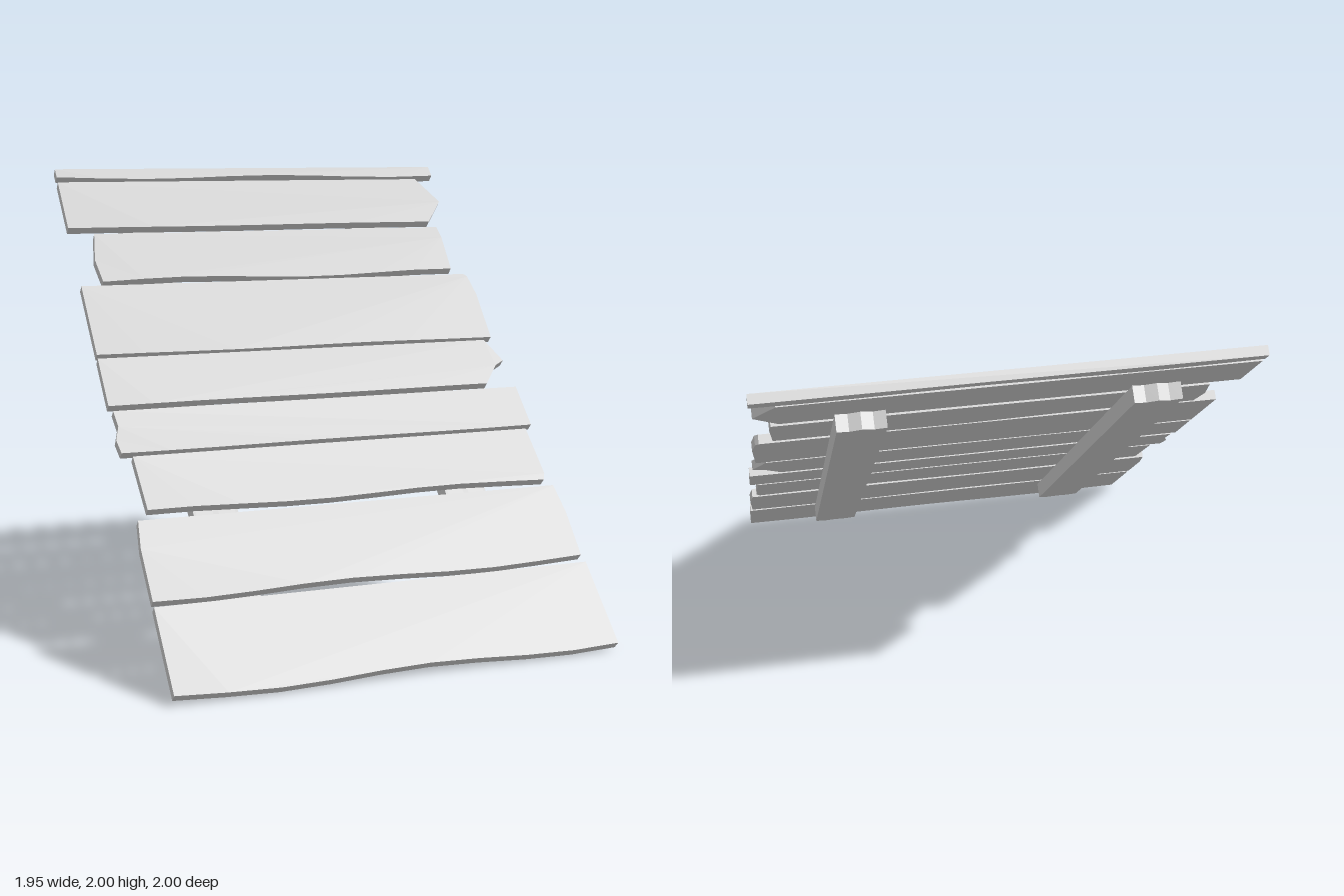
import * as THREE from 'three';

const SLOPE = Math.SQRT2; // heights are measured upright, the panel leans 45 degrees

// Flat board from an outline of [x, height] points, counter-clockwise
function board(name, points, depth, zFront, material) {
  const shape = new THREE.Shape(points.map(([x, y]) => new THREE.Vector2(x, y * SLOPE)));
  const geometry = new THREE.ExtrudeGeometry(shape, { depth, bevelEnabled: false });
  geometry.translate(0, 0, zFront - depth);
  const mesh = new THREE.Mesh(geometry, material);
  mesh.name = name;
  return mesh;
}

// Plank outline: wavy lower edge, shaped right end going up, straight top, shaped left end going down
function plankOutline({ low, high, wave, peak, left, right }) {
  const lowEdge = (x) => low + wave * Math.cos(5 * (x - peak));
  const place = ([x, t]) => [x, THREE.MathUtils.lerp(lowEdge(x), high, t)];
  const x0 = left[0][0], x1 = right[0][0];
  const bottom = [];
  for (let i = 1; i < 9; i++) {
    const x = THREE.MathUtils.lerp(x0, x1, i / 9);
    bottom.push([x, lowEdge(x)]);
  }
  return [...bottom, ...right.map(place), ...left.map(place).reverse()];
}

// Plank ends are [x, fraction of the plank's height], from bottom to top
const sawnLeft = [[-0.975, 0], [-0.975, 1]];
const sawnRight = [[0.97, 0], [0.97, 1]];
const planks = [
  { low: 0.037, high: 0.317, wave: 0.009, peak: 0.1, left: sawnLeft, right: sawnRight },
  { low: 0.338, high: 0.602, wave: 0.007, peak: -0.15,
    left: [[-0.975, 0], [-0.975, 0.65], [-0.96, 1]], right: [[0.96, 0], [0.97, 0.6], [0.96, 1]] },
  { low: 0.63, high: 0.825, wave: 0.006, peak: 0.45,
    left: [[-0.91, 0], [-0.92, 1]], right: [[0.925, 0], [0.94, 0.12], [0.935, 1]] },
  { low: 0.839, high: 0.994, wave: 0.001, peak: 0,
    left: [[-0.965, 0], [-0.975, 0.31], [-0.953, 0.62], [-0.96, 1]], right: sawnRight },
  { low: 1.014, high: 1.195, wave: 0.001, peak: -0.5,
    left: sawnLeft, right: [[0.83, 0], [0.91, 0.4], [0.957, 0.5], [0.9, 1]] },
  { low: 1.208, high: 1.487, wave: 0.002, peak: 0.3,
    left: sawnLeft, right: [[0.943, 0], [0.957, 0.67], [0.945, 0.96], [0.93, 1]] },
  { low: 1.506, high: 1.707, wave: 0.008, peak: -0.47,
    left: [[-0.87, 0], [-0.885, 0.45], [-0.86, 1]], right: [[0.875, 0], [0.89, 0.75], [0.885, 1]] },
  { low: 1.734, high: 1.94, wave: 0.001, peak: 0.4,
    left: sawnLeft, right: [[0.855, 0], [0.955, 0.46], [0.87, 1]] },
  { low: 1.959, high: 2, wave: 0.007, peak: 0.1, left: sawnLeft, right: sawnRight },
];

export function createModel() {
  const model = new THREE.Group();
  model.name = 'plankPanel';
  const wood = new THREE.MeshStandardMaterial({ color: 0xcccccc });
  wood.name = 'paleGrey';

  // Leaning frame: local z = 0 is the front face of the planks
  const panel = new THREE.Group();
  panel.name = 'leaningPanel';
  panel.rotation.x = -Math.PI / 4;
  panel.position.z = 1.028;
  model.add(panel);

  planks.forEach((plank, i) => panel.add(board(`plank${i + 1}`, plankOutline(plank), 0.04, 0, wood)));

  // Two rails behind the planks, with slightly ragged ends
  const lowerEnd = [0.248, 0.238, 0.243, 0.235, 0.246];
  const upperEnd = [1.785, 1.778, 1.79, 1.78, 1.786];
  for (const [name, x0, x1] of [['rightRail', -0.71, -0.515], ['leftRail', 0.45, 0.645]]) {
    const along = (y, i) => [THREE.MathUtils.lerp(x0, x1, i / 4), y];
    const points = [...lowerEnd.map(along), ...upperEnd.map(along).reverse()];
    panel.add(board(name, points, 0.07, -0.04, wood));
  }
  return model;
}
